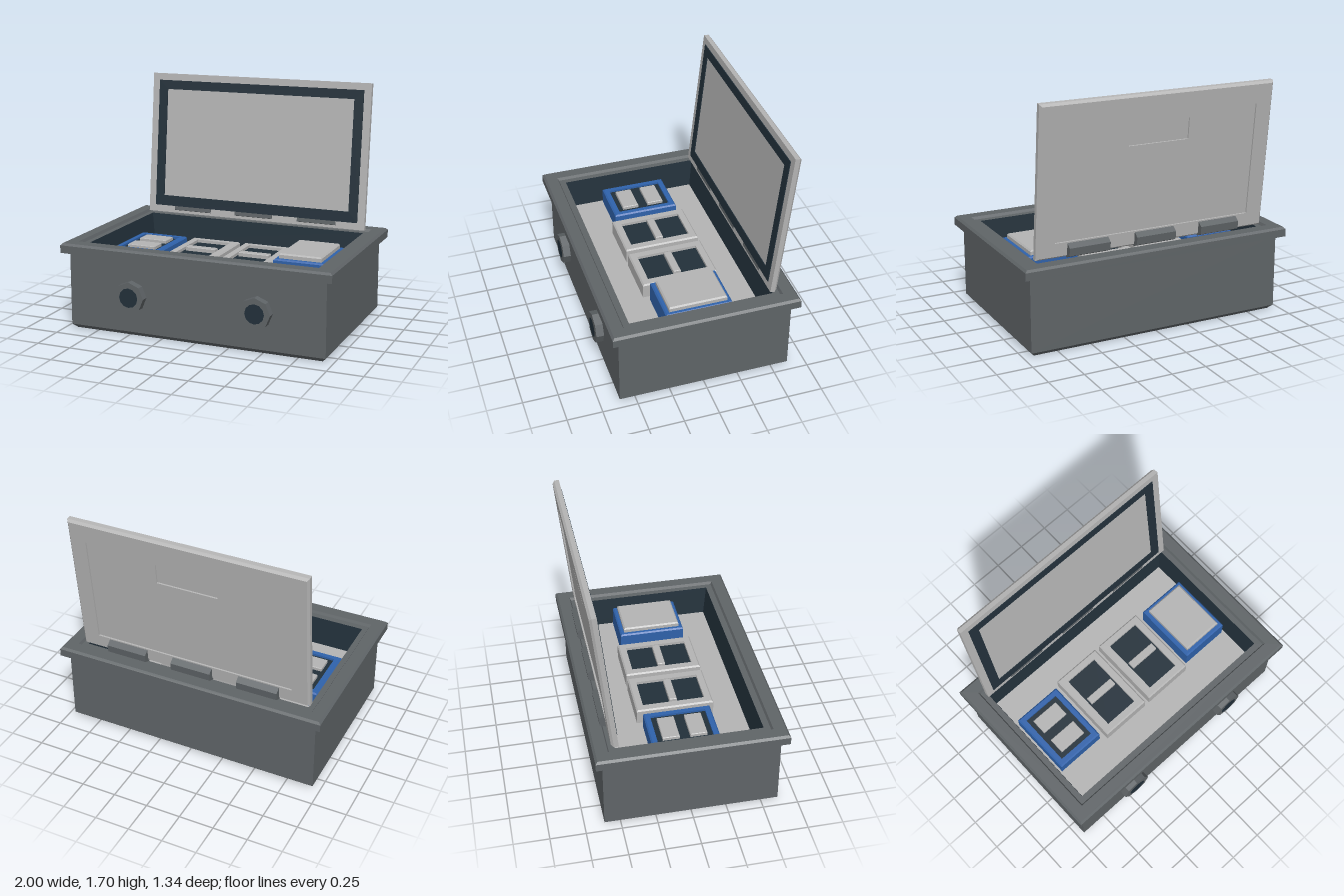
import * as THREE from 'three';

const flat = (name, color) => {
  const m = new THREE.MeshStandardMaterial({ color });
  m.name = name;
  return m;
};

// Lofts rectangles [halfX, halfZ, y, centreZ] into a faceted shell, optionally capped at both ends.
function loft(rings, capBottom = true, capTop = true) {
  const corners = rings.map(([x, z, y, c = 0]) =>
    [[-x, y, c + z], [x, y, c + z], [x, y, c - z], [-x, y, c - z]]);
  const pos = [];
  const quad = (a, b, c, d) => pos.push(...a, ...b, ...c, ...a, ...c, ...d);
  for (let i = 0; i < corners.length - 1; i++) {
    const lo = corners[i], hi = corners[i + 1];
    for (let k = 0; k < 4; k++) {
      const n = (k + 1) % 4;
      quad(lo[k], lo[n], hi[n], hi[k]);
    }
  }
  if (capBottom) quad(...[...corners[0]].reverse());
  if (capTop) quad(...corners[corners.length - 1]);
  const g = new THREE.BufferGeometry();
  g.setAttribute('position', new THREE.Float32BufferAttribute(pos, 3));
  g.computeVertexNormals();
  return g;
}

export function createModel() {
  const body = flat('case grey', 0x5f6467);
  const light = flat('light grey', 0xb4b4b4);
  const dark = flat('dark slate', 0x22303a);
  const blue = flat('blue', 0x2f62ab);

  const model = new THREE.Group();
  model.name = 'equipmentCase';
  const add = (parent, name, geometry, material, x = 0, y = 0, z = 0) => {
    const mesh = new THREE.Mesh(geometry, material);
    mesh.name = name;
    mesh.position.set(x, y, z);
    parent.add(mesh);
    return mesh;
  };
  const group = (name, x, y, z) => {
    const g = new THREE.Group();
    g.name = name;
    g.position.set(x, y, z);
    model.add(g);
    return g;
  };
  // Block with a small chamfer around its top
  const block = (w, h, d, c = 0.01) =>
    loft([[w / 2, d / 2, 0], [w / 2, d / 2, h - c], [w / 2 - c, d / 2 - c, h]]);

  // Case: chamfered foot, overhanging rim, stepped ledge inside
  add(model, 'caseShell', loft([
    [0.92, 0.585, 0], [0.95, 0.615, 0.03], [0.95, 0.615, 0.56], [1, 0.665, 0.56],
    [1, 0.665, 0.615], [0.985, 0.65, 0.63], [0.905, 0.567, 0.63],
    [0.895, 0.557, 0.61], [0.855, 0.512, 0.61],
  ], true, false), body);
  add(model, 'innerWalls', loft([[0.855, 0.512, 0.61], [0.825, 0.485, 0.4]], false, false), dark);
  add(model, 'mountingPlate', new THREE.BoxGeometry(1.65, 0.02, 0.97), light, 0, 0.39, 0);

  // Octagonal cable glands on the front
  for (const s of [-1, 1]) {
    const gland = group(s < 0 ? 'rightGland' : 'leftGland', s * 0.467, 0.293, 0.61);
    const nut = new THREE.CylinderGeometry(0.112, 0.112, 0.06, 8).toNonIndexed();
    nut.computeVertexNormals();
    add(gland, 'glandNut', nut, body, 0, 0, 0.03).rotation.x = Math.PI / 2;
    add(gland, 'glandOpening', new THREE.CircleGeometry(0.07, 12), dark, 0, 0, 0.063);
  }

  // Blue switch module with a recessed face and two keys
  const FLOOR = 0.4;
  const switches = group('switchModule', -0.625, FLOOR, -0.005);
  add(switches, 'switchHousing', loft([
    [0.185, 0.24, 0], [0.185, 0.24, 0.11], [0.175, 0.23, 0.12],
    [0.142, 0.196, 0.12], [0.142, 0.196, 0.1],
  ], true, false), blue);
  add(switches, 'switchFace', new THREE.BoxGeometry(0.284, 0.008, 0.392), dark, 0, 0.1, 0);
  for (const z of [-0.097, 0.097])
    add(switches, 'switchKey', block(0.215, 0.025, 0.12, 0.004), light, 0, 0.104, z);

  // Two light modules with dark wells and a crossbar
  for (const x of [-0.21, 0.205]) {
    const breaker = group('breakerModule', x, FLOOR, -0.003);
    add(breaker, 'breakerHousing', loft([
      [0.188, 0.277, 0], [0.188, 0.277, 0.1], [0.178, 0.267, 0.11],
      [0.13, 0.222, 0.11], [0.13, 0.222, 0.085],
    ], true, false), light);
    add(breaker, 'breakerWell', new THREE.BoxGeometry(0.26, 0.008, 0.444), dark, 0, 0.085, 0);
    add(breaker, 'breakerBar', block(0.23, 0.03, 0.055, 0.004), light, 0, 0.089, 0);
  }

  // Taller blue module with a light cover
  const relay = group('relayModule', 0.62, FLOOR, -0.005);
  add(relay, 'relayHousing', block(0.37, 0.16, 0.48), blue);
  add(relay, 'relayCover', block(0.31, 0.035, 0.42), light, 0, 0.16, 0);

  // Open lid, leaning back on its hinges
  const lid = group('lid', 0, 0.635, -0.487);
  lid.rotation.x = -0.105;
  // Lid panel: chamfered back edge, recessed back field and handle pocket
  add(lid, 'lidPanel', loft([
    [0.87, 0.535, 0], [0.87, 0.535, 0.033], [0.855, 0.52, 0.05],
    [0.74, 0.405, 0.05, -0.02], [0.74, 0.405, 0.038, -0.02],
    [0.225, 0.075, 0.038, 0.26], [0.225, 0.075, 0.026, 0.26],
  ]), light, 0, 0.535, 0).rotation.x = -Math.PI / 2;
  // Seal around the inside of the lid
  add(lid, 'lidSeal', loft([
    [0.815, 0.484, 0], [0.815, 0.484, 0.006], [0.745, 0.411, 0.006, -0.005], [0.745, 0.411, 0, -0.005],
  ], false, false), dark, 0, 0.535, 0).rotation.x = Math.PI / 2;
  // Hexagonal hinge barrels
  const barrel = new THREE.CylinderGeometry(0.055, 0.055, 0.3, 6).toNonIndexed();
  barrel.rotateZ(Math.PI / 2);
  barrel.rotateX(Math.PI / 2);
  barrel.computeVertexNormals();
  for (const x of [-0.5, 0, 0.5]) add(lid, 'hinge', barrel, body, x, 0.05, -0.043);

  return model;
}
